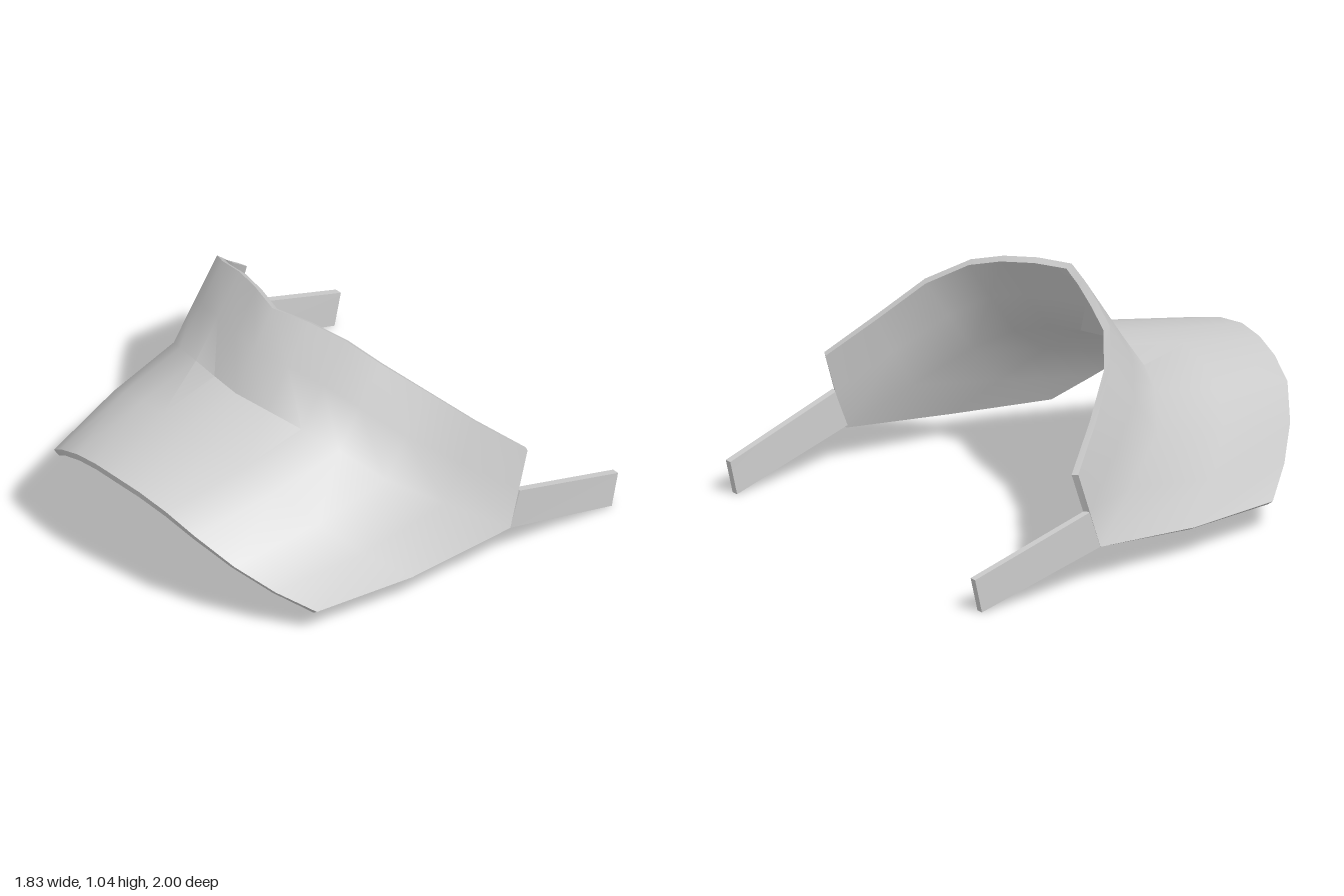
import * as THREE from 'three';
import { toCreasedNormals } from 'three/addons/utils/BufferGeometryUtils.js';

const THICK = 0.032;
const V = (p) => new THREE.Vector3(...p);

// Cross-section curves, each from the centre line out to the model's left end
const bandTop = [[0, 1.04, 0.13], [0.165, 1.03, 0.075], [0.33, 1, 0.02], [0.495, 0.945, -0.03],
  [0.66, 0.835, -0.145], [0.785, 0.67, -0.31], [0.903, 0.51, -0.485]].map(V);
const crease = [[0, 0.703, 0.333], [0.165, 0.69, 0.305], [0.33, 0.662, 0.262], [0.5, 0.61, 0.2],
  [0.665, 0.5, 0.09], [0.79, 0.345, -0.13], [0.914, 0.172, -0.38]].map(V);
const brimMid = [[0, 0.65, 0.61], [0.16, 0.637, 0.595], [0.32, 0.602, 0.57], [0.48, 0.545, 0.53],
  [0.64, 0.43, 0.445], [0.77, 0.28, 0.3], [0.876, 0.137, 0.13]].map(V);
const brimEdge = [[0, 0.59, 1], [0.14, 0.577, 0.988], [0.28, 0.54, 0.965], [0.42, 0.475, 0.93],
  [0.565, 0.355, 0.84], [0.69, 0.235, 0.72], [0.796, 0.13, 0.585]].map(V);
const bandMid = bandTop.map((p, i) => p.clone().lerp(crease[i], 0.5));

// Full row from a half row by mirroring in x
const mirrorRow = (half) => [
  ...half.slice(1).reverse().map((p) => new THREE.Vector3(-p.x, p.y, p.z)), ...half];

// Thick shell: outer grid, inner grid pushed in along the normals, and a rim
function shellGeometry(rows) {
  const R = rows.length - 1, C = rows[0].length - 1;
  const clampDiff = (get, i, max) =>
    get(Math.min(i + 1, max)).clone().sub(get(Math.max(i - 1, 0)));
  const inner = rows.map((row, r) => row.map((p, c) => {
    const across = clampDiff((i) => rows[r][i], c, C);
    const down = clampDiff((i) => rows[i][c], r, R);
    return p.clone().addScaledVector(down.cross(across).normalize(), -THICK);
  }));
  const pos = [];
  const quad = (a, b, c, d) => [a, b, c, a, c, d].forEach((p) => pos.push(p.x, p.y, p.z));
  for (let r = 0; r < R; r++) {
    for (let c = 0; c < C; c++) {
      quad(rows[r][c], rows[r + 1][c], rows[r + 1][c + 1], rows[r][c + 1]);
      quad(inner[r][c], inner[r][c + 1], inner[r + 1][c + 1], inner[r + 1][c]);
    }
  }
  // Walk the border once and close it
  const border = [];
  for (let r = 0; r < R; r++) border.push([r, 0]);
  for (let c = 0; c < C; c++) border.push([R, c]);
  for (let r = R; r > 0; r--) border.push([r, C]);
  for (let c = C; c > 0; c--) border.push([0, c]);
  border.forEach(([r, c], i) => {
    const [r2, c2] = border[(i + 1) % border.length];
    quad(rows[r][c], inner[r][c], inner[r2][c2], rows[r2][c2]);
  });
  const geo = new THREE.BufferGeometry();
  geo.setAttribute('position', new THREE.Float32BufferAttribute(pos, 3));
  return toCreasedNormals(geo, 0.75);
}

// Side strap: a box whose corners follow the slanted side outline
function strapGeometry(side) {
  const geo = new THREE.BoxGeometry(THICK, 1, 1);
  const p = geo.attributes.position;
  for (let i = 0; i < p.count; i++) {
    const top = p.getY(i) > 0, front = p.getZ(i) > 0;
    const [y, z] = front ? (top ? [0.335, -0.435] : [0.172, -0.38])
      : (top ? [0.15, -1] : [0, -0.965]);
    p.setXYZ(i, p.getX(i) + side * (front ? 0.897 : 0.87), y, z);
  }
  geo.computeVertexNormals();
  return geo;
}

export function createModel() {
  const group = new THREE.Group();
  group.name = 'sunVisor';
  const material = new THREE.MeshStandardMaterial({ color: 0xcccccc });
  const add = (name, geo) => {
    const mesh = new THREE.Mesh(geo, material);
    mesh.name = name;
    group.add(mesh);
  };
  // Forehead band and brim in one curved shell
  add('bandAndBrim', shellGeometry([bandTop, bandMid, crease, brimMid, brimEdge].map(mirrorRow)));
  // Straps reaching back on both sides
  add('leftStrap', strapGeometry(1));
  add('rightStrap', strapGeometry(-1));
  return group;
}
